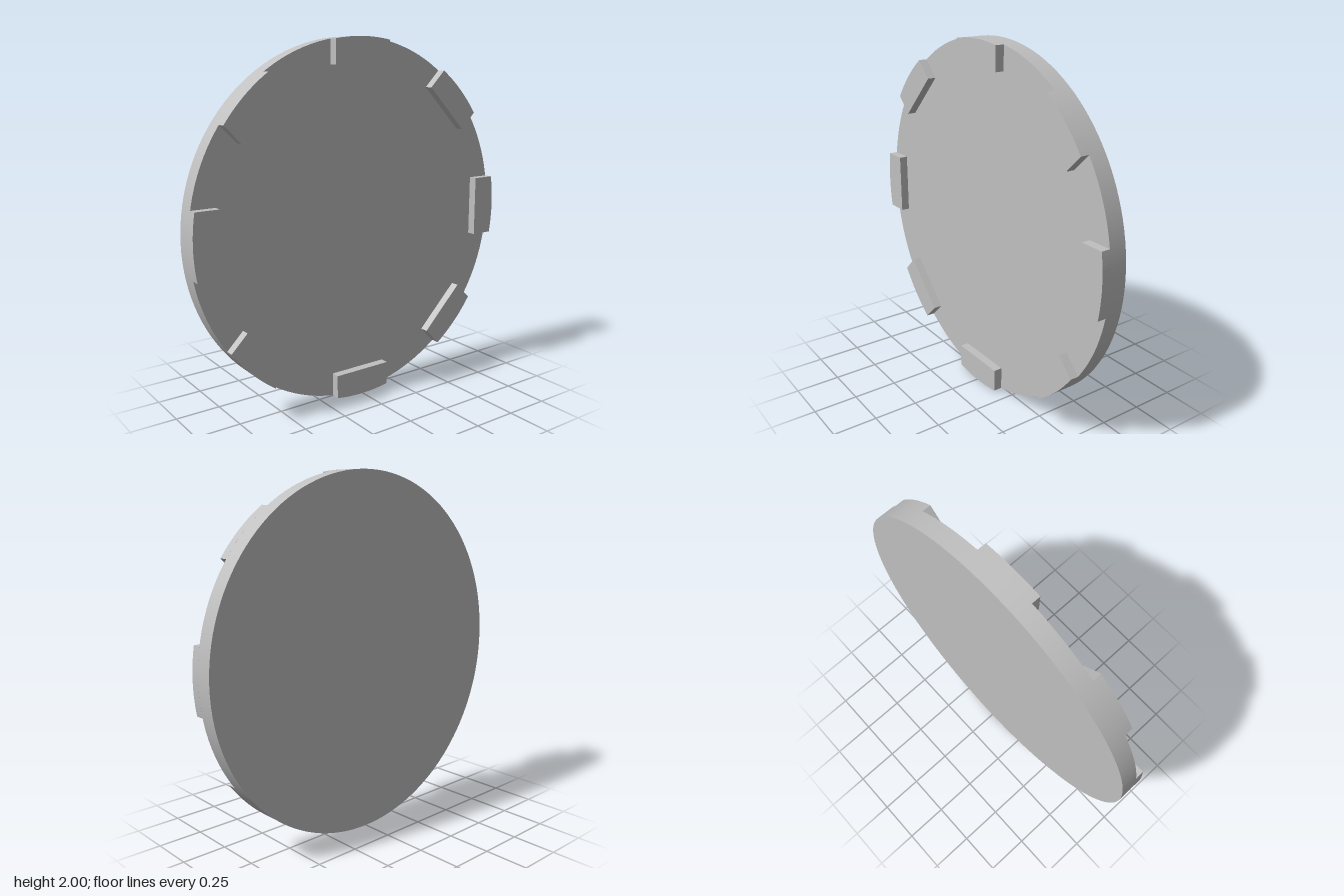
import * as THREE from 'three';

const RADIUS = 1;
const BACK = -0.073, STEP = 0.024, FRONT = 0.073;
const TAB_COUNT = 8, TAB_HALF = 0.175, TAB_INNER = 0.853;

export function createModel() {
  const model = new THREE.Group();
  model.name = 'tabbedDisc';
  const grey = new THREE.MeshStandardMaterial({ color: 0xc0c0c0 });
  grey.name = 'light grey';

  // Round plate, facing +z
  const plate = new THREE.CylinderGeometry(RADIUS, RADIUS, STEP - BACK, 128);
  plate.rotateX(Math.PI / 2);
  const disc = new THREE.Mesh(plate, grey);
  disc.name = 'disc';
  disc.position.set(0, RADIUS, (BACK + STEP) / 2);
  model.add(disc);

  // Raised tab: straight inner edge and sides, outer edge follows the rim
  const half = Math.asin(TAB_HALF / RADIUS);
  const outline = new THREE.Shape();
  outline.moveTo(-TAB_HALF, TAB_INNER);
  outline.lineTo(TAB_HALF, TAB_INNER);
  outline.absarc(0, 0, RADIUS, Math.PI / 2 - half, Math.PI / 2 + half, false);
  outline.closePath();
  const tabGeometry = new THREE.ExtrudeGeometry(outline, {
    depth: FRONT - STEP, bevelEnabled: false, curveSegments: 8,
  });

  // Eight tabs spaced evenly around the rim
  for (let i = 0; i < TAB_COUNT; i++) {
    const tab = new THREE.Mesh(tabGeometry, grey);
    tab.name = `rimTab${i + 1}`;
    tab.position.set(0, RADIUS, STEP);
    tab.rotation.z = (i / TAB_COUNT) * Math.PI * 2;
    model.add(tab);
  }
  return model;
}
